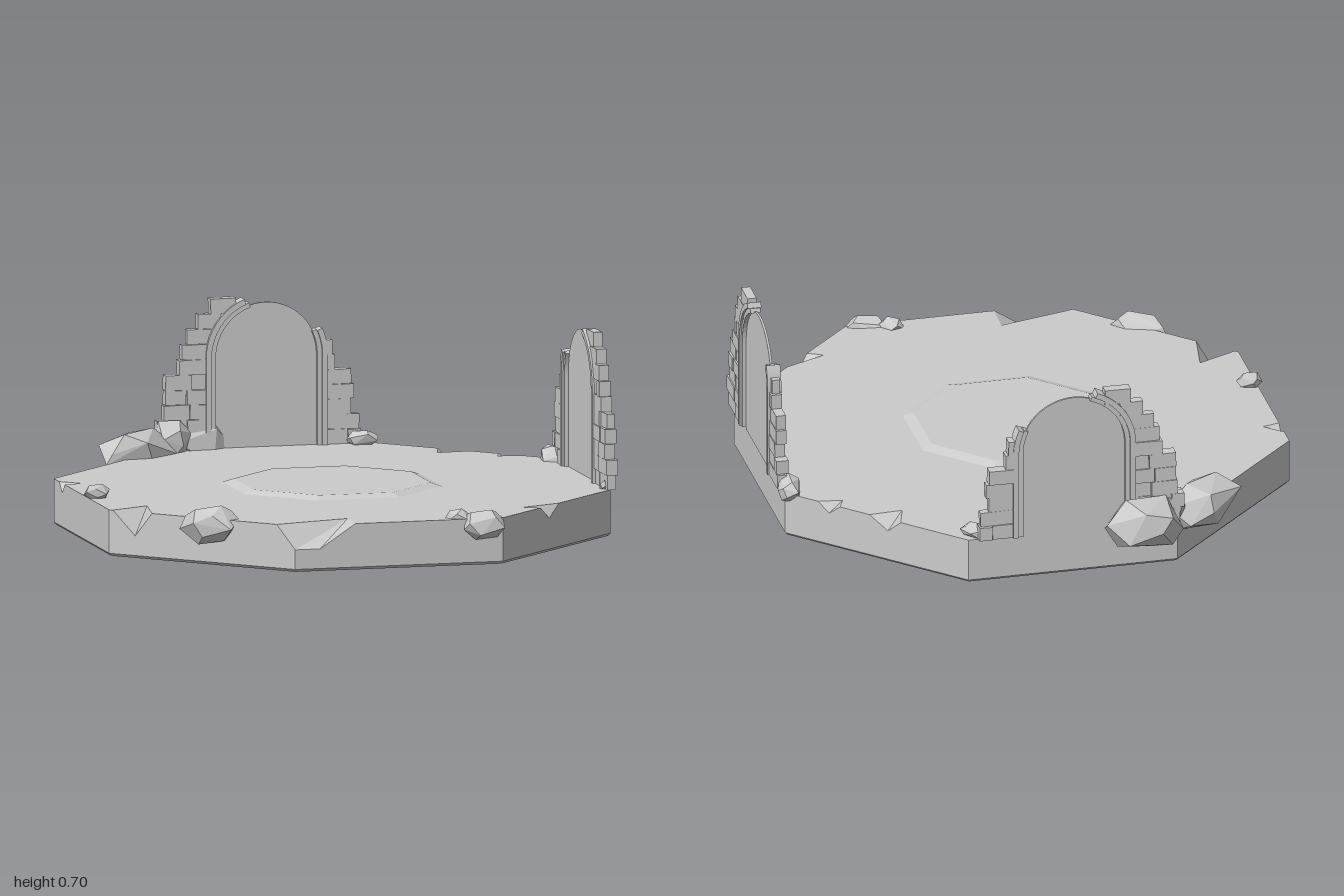
import * as THREE from 'three';
import { ConvexGeometry } from 'three/addons/geometries/ConvexGeometry.js';

const mat = new THREE.MeshStandardMaterial({ color: 0xcccccc, flatShading: true });
const R = 0.99, H = 0.165, BASE = 0.01;

function seeded(seed) {
  let s = seed * 7919 + 17;
  return () => (s = (s * 16807) % 2147483647) / 2147483647;
}

function add(parent, geometry, name, x = 0, y = 0, z = 0) {
  const mesh = new THREE.Mesh(geometry, mat);
  mesh.name = name;
  mesh.position.set(x, y, z);
  parent.add(mesh);
  return mesh;
}

// Chips broken out of the rim: edge number, cut line on the side face [t, y], inner point on top [x, z]
const chips = [
  { edge: 0, cut: [[0, 0.08], [0.12, 0.08], [0.29, H]], inner: [0.16, 0.79] },
  { edge: 1, cut: [[0.35, H], [0.43, 0.12], [0.52, H]], inner: [0.74, 0.45] },
  { edge: 3, cut: [[0.18, H], [0.24, 0.13], [0.3, H]], inner: [0.49, -0.73] },
  { edge: 3, cut: [[0.46, H], [0.56, 0.12], [0.63, H]], inner: [0.27, -0.78] },
  { edge: 6, cut: [[0.1, H], [0.15, 0.13], [0.2, H]], inner: [-0.88, 0.1] },
  { edge: 7, cut: [[0.02, H], [0.14, 0.08], [0.23, H]], inner: [-0.58, 0.59] },
  { edge: 7, cut: [[0.9, H], [1, 0.08]], inner: [0.16, 0.79] },
];

// Octagonal slab with notched upper edge
function slabGeometry() {
  const pos = [], outline = [];
  const corner = k => [R * Math.sin(k * Math.PI / 4), R * Math.cos(k * Math.PI / 4)];
  const push = (...pts) => pts.forEach(p => pos.push(...p));
  const pushOutline = p => {
    const last = outline[outline.length - 1];
    if (!last || Math.hypot(last.x - p[0], last.y + p[1]) > 1e-4) outline.push(new THREE.Vector2(p[0], -p[1]));
  };
  for (let k = 0; k < 8; k++) {
    const a = corner(k), b = corner(k + 1);
    const at = ([t, y]) => [a[0] + (b[0] - a[0]) * t, y, a[1] + (b[1] - a[1]) * t];
    const own = chips.filter(c => c.edge === k);
    const rim = own.flatMap(c => c.cut);
    if (!rim.length || rim[0][0] > 0) { rim.unshift([0, H]); pushOutline(a); }
    if (rim[rim.length - 1][0] < 1) rim.push([1, H]);
    for (const { cut, inner } of own) {
      const c = [inner[0], H, inner[1]];
      const n = cut.length - 1;
      if (cut[0][1] === H) { const p = at(cut[0]); pushOutline([p[0], p[2]]); }
      pushOutline(inner);
      if (cut[n][1] === H) { const p = at(cut[n]); pushOutline([p[0], p[2]]); }
      for (let i = 0; i < n; i++) push(at(cut[i]), at(cut[i + 1]), c);
    }
    const face = [[0, BASE], [1, BASE], ...rim.reverse()];
    const flat = face.map(p => new THREE.Vector2(...p));
    for (const tri of THREE.ShapeUtils.triangulateShape(flat, [])) push(...tri.map(i => at(face[i])));
  }
  // the corner chip wraps round, so its inner point closes the outline
  if (outline[0].distanceTo(outline[outline.length - 1]) < 1e-4) outline.pop();
  for (const tri of THREE.ShapeUtils.triangulateShape(outline, [])) {
    push(...tri.map(i => [outline[i].x, H, -outline[i].y]));
  }
  const g = new THREE.BufferGeometry();
  g.setAttribute('position', new THREE.Float32BufferAttribute(pos, 3));
  g.computeVertexNormals();
  return g;
}

function extrude(shape, depth) {
  const g = new THREE.ExtrudeGeometry(shape, { depth, bevelEnabled: false, curveSegments: 14 });
  return g.translate(0, 0, -depth / 2);
}

// Moulding: a straight leg that bends into part of the arch; side is -1 or 1
const SPRING = 0.49, RADIUS = 0.19;
function moulding(side, r0, r1, sweep, depth) {
  const s = new THREE.Shape(), N = 10, pts = [];
  const p = (r, a) => [side * r * Math.cos(a), SPRING + r * Math.sin(a)];
  pts.push([side * r1, H]);
  for (let i = 0; i <= N; i++) pts.push(p(r1, sweep * i / N));
  for (let i = N; i >= 0; i--) pts.push(p(r0, sweep * i / N));
  pts.push([side * r0, H]);
  s.setFromPoints(pts.map(q => new THREE.Vector2(...q)));
  return extrude(s, depth);
}

// Ruined arch: filled doorway, moulding and crumbling courses of stone
function ruinedArch(seed) {
  const g = new THREE.Group(), rnd = seeded(seed);
  const door = new THREE.Shape();
  door.moveTo(-RADIUS, H - 0.01);
  door.lineTo(RADIUS, H - 0.01);
  door.lineTo(RADIUS, SPRING);
  door.absarc(0, SPRING, RADIUS, 0, Math.PI, false);
  add(g, extrude(door, 0.008), 'doorPanel');
  for (const [side, sweep] of [[-1, 1.25], [1, 0.45]]) {
    add(g, moulding(side, 0.185, 0.202, sweep, 0.036), 'innerMoulding');
    add(g, moulding(side, 0.202, 0.222, sweep * 0.95, 0.05), 'outerMoulding');
  }
  const courses = {
    '-1': [0.385, 0.4, 0.375, 0.37, 0.37, 0.32, 0.31, 0.29, 0.25, 0.205],
    '1': [0.345, 0.34, 0.31, 0.32, 0.31, 0.25, 0.24],
  };
  const h = 0.0535;
  for (const side of [-1, 1]) {
    courses[side].forEach((outer, row) => {
      const y = H + h * (row + 0.5), rise = Math.max(0, y - SPRING);
      let u = Math.sqrt(Math.max(0.012, 0.21 ** 2 - rise ** 2));
      while (outer - u > 0.005) {
        let w = 0.06 + rnd() * 0.05;
        if (outer - u - w < 0.035) w = outer - u;
        const stone = new THREE.BoxGeometry(w - 0.002, h * (0.94 + rnd() * 0.1), 0.028 + rnd() * 0.016);
        const mesh = add(g, stone, 'wallStone', side * (u + w / 2), y, (rnd() - 0.5) * 0.006);
        mesh.rotation.z = (rnd() - 0.5) * 0.05;
        u += w;
      }
    });
  }
  return g;
}

// Angular boulder: hull of scattered points on an ellipsoid
function boulder(seed, sx, sy, sz) {
  const rnd = seeded(seed), pts = [], N = 15;
  for (let i = 0; i < N; i++) {
    const y = 1 - 2 * (i + 0.5) / N, a = i * 2.4 + rnd() * 0.9, r = Math.sqrt(1 - y * y);
    const k = 0.9 + rnd() * 0.2;
    pts.push(new THREE.Vector3(sx * r * Math.cos(a) * k, sy * y * k, sz * r * Math.sin(a) * k));
  }
  return new ConvexGeometry(pts);
}

export function createModel() {
  const model = new THREE.Group();
  model.name = 'ruinedPlatform';

  // Platform
  add(model, slabGeometry(), 'platform');
  add(model, new THREE.CylinderGeometry(R, R - 0.01, BASE, 8), 'platformFoot', 0, BASE / 2, 0);
  add(model, new THREE.CylinderGeometry(0.35, 0.39, 0.013, 8), 'centreDais', 0, H + 0.0065, 0);

  // Two ruined arches on the rim
  const mid = R * Math.cos(Math.PI / 8);
  [[-Math.PI / 8, Math.PI / 8], [3 * Math.PI / 8, 5 * Math.PI / 8]].forEach(([bearing, turn], i) => {
    const arch = ruinedArch(i + 3);
    arch.name = i ? 'rightArch' : 'backArch';
    arch.position.set(mid * Math.sin(bearing), 0, -mid * Math.cos(bearing));
    arch.rotation.y = turn;
    model.add(arch);
  });

  // Boulders: x, y, z, half sizes, turn
  const rocks = [
    [-0.59, 0.18, -0.8, 0.16, 0.105, 0.1, 0.55],
    [-0.765, 0.175, -0.57, 0.17, 0.09, 0.105, 0.75],
    [-0.66, 0.2, -0.69, 0.08, 0.085, 0.06, 0.4],
    [-0.78, 0.185, 0.43, 0.05, 0.03, 0.03, 0.4],
    [-0.32, 0.145, 0.865, 0.12, 0.075, 0.055, -0.05],
    [0.635, 0.145, 0.73, 0.085, 0.06, 0.06, 0.35],
    [0.54, 0.165, 0.725, 0.05, 0.035, 0.035, 0],
    [-0.02, 0.185, -0.945, 0.06, 0.032, 0.035, 0],
    [0.695, 0.175, -0.67, 0.085, 0.05, 0.045, -1.2],
    [0.965, 0.175, -0.03, 0.03, 0.025, 0.02, 1.2],
  ];
  rocks.forEach(([x, y, z, sx, sy, sz, turn], i) => {
    add(model, boulder(i + 1, sx, sy, sz), 'boulder', x, y, z).rotation.y = turn;
  });
  return model;
}
